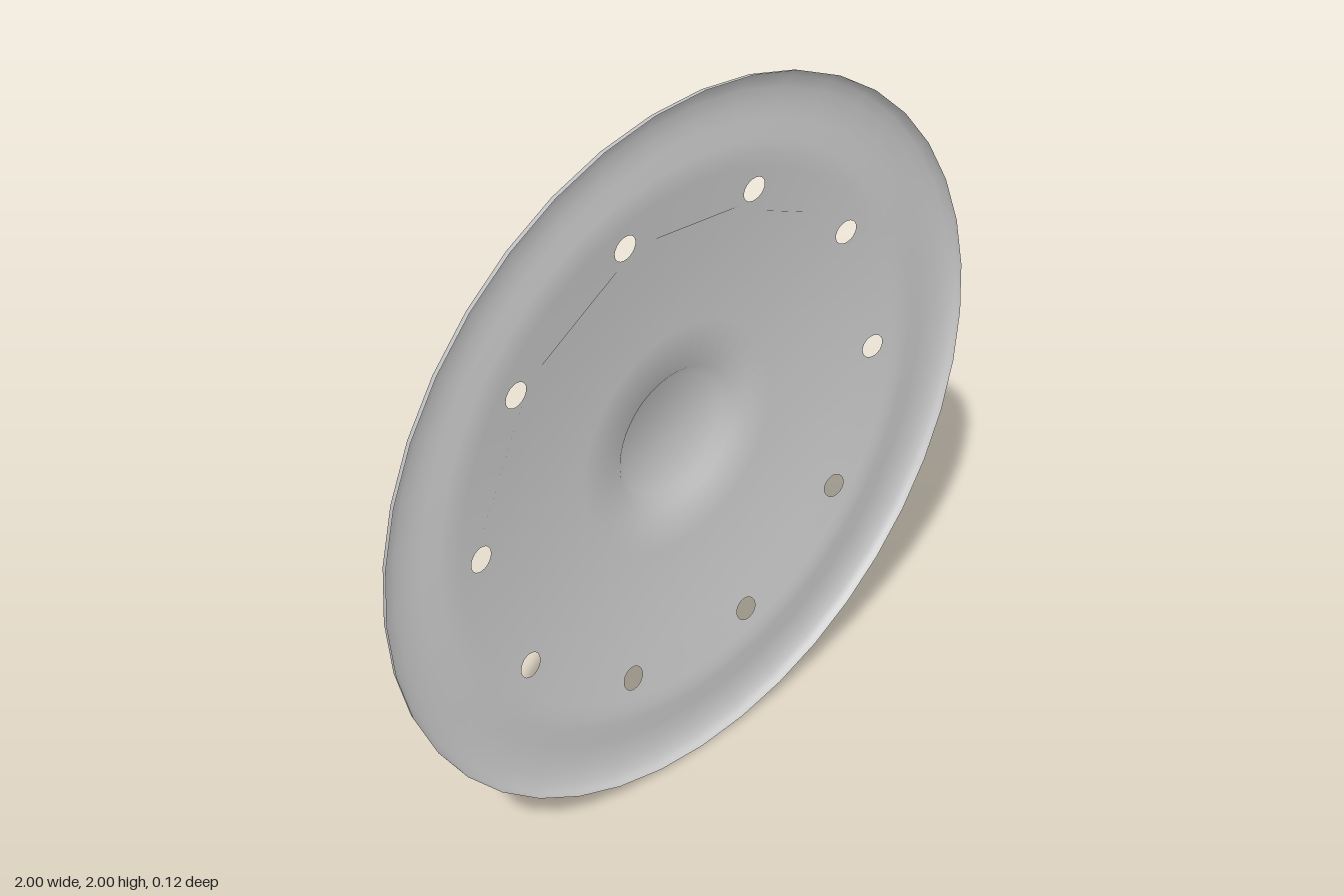
import * as THREE from 'three';

const SEGMENTS = 40;
const HOLES = 10;

// Sheet profile from the centre out: [radius, z]
const PROFILE = [
  [0, -0.06], [0.17, -0.06], [0.2, -0.036], [0.33, -0.028], [0.46, -0.017],
  [0.63, 0.004], [0.75, 0.022], [0.785, 0.0265], [0.82, 0.026], [0.87, 0.021],
  [0.91, 0.02], [0.95, 0.024], [0.98, 0.033], [0.997, 0.045], [1, 0.06],
];
const BAND_START = 5, BAND_END = 6; // straight band that carries the holes

// Tilt of the surface at each profile point, averaged from its neighbours
const segmentTilt = PROFILE.slice(1).map(([r, z], i) =>
  Math.atan2(z - PROFILE[i][1], r - PROFILE[i][0]));
const TILT = PROFILE.map((_, i) => {
  if (i === 0) return 0;
  const before = segmentTilt[i - 1];
  return (before + (segmentTilt[i] ?? before)) / 2;
});

// Height and tilt of the sheet at any radius
function sample(r) {
  let i = 0;
  while (i < PROFILE.length - 2 && r > PROFILE[i + 1][0]) i++;
  const [r0, z0] = PROFILE[i], [r1, z1] = PROFILE[i + 1];
  const t = THREE.MathUtils.clamp((r - r0) / (r1 - r0), 0, 1);
  return {
    z: THREE.MathUtils.lerp(z0, z1, t),
    tilt: THREE.MathUtils.lerp(TILT[i], TILT[i + 1], t),
  };
}

// Press a geometry onto the profile, with smooth normals across part seams
function press(geometry) {
  const p = geometry.attributes.position, n = geometry.attributes.normal;
  for (let i = 0; i < p.count; i++) {
    const x = p.getX(i), y = p.getY(i), r = Math.hypot(x, y);
    const { z, tilt } = sample(r);
    const k = r > 1e-6 ? -Math.sin(tilt) / r : 0;
    p.setZ(i, z);
    n.setXYZ(i, x * k, y * k, Math.cos(tilt));
  }
  return geometry;
}

// Turned section between two profile points, facing the front
function turned(from, to) {
  const points = PROFILE.slice(from, to + 1).reverse()
    .map(([r, z]) => new THREE.Vector2(r, z));
  return press(new THREE.LatheGeometry(points, SEGMENTS).rotateX(Math.PI / 2));
}

function circle(cx, cy, radius, count) {
  return Array.from({ length: count }, (_, i) => {
    const a = (i / count) * Math.PI * 2;
    return new THREE.Vector2(cx + radius * Math.cos(a), cy + radius * Math.sin(a));
  });
}

// Ring of sheet pierced by the round holes
function piercedBand() {
  const shape = new THREE.Shape(circle(0, 0, PROFILE[BAND_END][0], SEGMENTS));
  shape.holes.push(new THREE.Path(circle(0, 0, PROFILE[BAND_START][0], SEGMENTS)));
  for (let i = 0; i < HOLES; i++) {
    const a = (i / HOLES) * Math.PI * 2;
    shape.holes.push(new THREE.Path(
      circle(0.687 * Math.cos(a), 0.687 * Math.sin(a), 0.034, 20)));
  }
  return press(new THREE.ShapeGeometry(shape));
}

export function createModel() {
  const group = new THREE.Group();
  group.name = 'dishedDisc';
  const material = new THREE.MeshStandardMaterial({
    color: 0xcccccc, side: THREE.DoubleSide,
  });
  const add = (name, geometry) => {
    const mesh = new THREE.Mesh(geometry, material);
    mesh.name = name;
    mesh.position.y = 1;
    group.add(mesh);
  };

  add('hubAndDish', turned(0, BAND_START));
  add('holeBand', piercedBand());
  add('groovedRim', turned(BAND_END, PROFILE.length - 1));
  return group;
}
